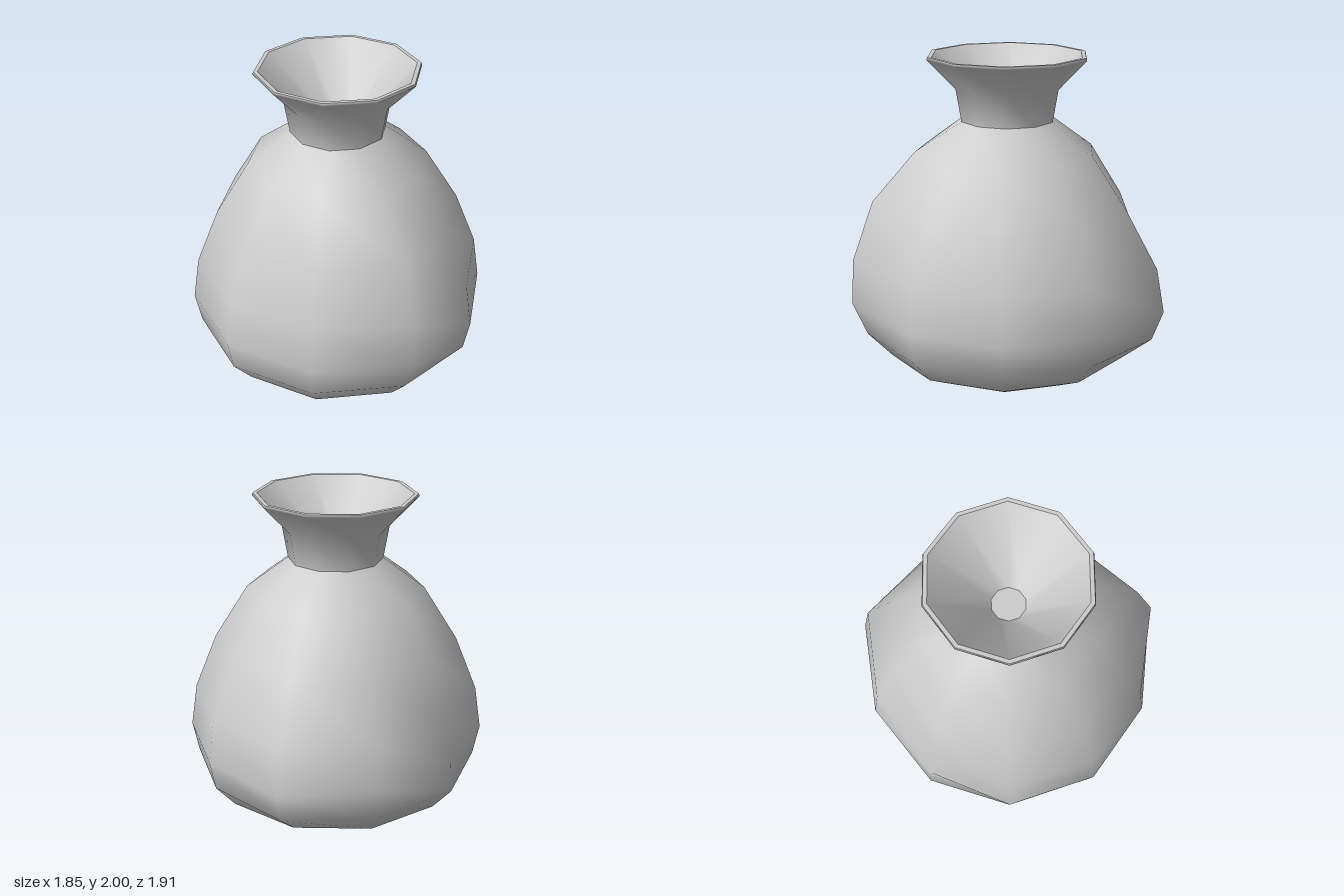
import * as THREE from 'three';
import { mergeVertices } from 'three/addons/utils/BufferGeometryUtils.js';

const SIDES = 10;
const material = new THREE.MeshStandardMaterial({ color: 0xcccccc });

// Ten-sided turned surface, optionally pushed in or out at single points
function turned(name, profile, dents = []) {
  const points = profile.map(([r, y]) => new THREE.Vector2(r, y));
  let geometry = new THREE.LatheGeometry(points, SIDES, Math.PI / 2);
  const pos = geometry.attributes.position;
  for (const { side, rows } of dents) {
    const a = (side / SIDES) * Math.PI * 2;
    for (const [row, out, up] of rows) {
      const i = side * profile.length + row;
      pos.setXYZ(i, pos.getX(i) + out * Math.cos(a), pos.getY(i) + up, pos.getZ(i) - out * Math.sin(a));
    }
  }
  // Weld the seam so the shading is smooth all round
  geometry.deleteAttribute('uv');
  geometry.deleteAttribute('normal');
  geometry = mergeVertices(geometry);
  geometry.computeVertexNormals();
  const mesh = new THREE.Mesh(geometry, material);
  mesh.name = name;
  return mesh;
}

export function createModel() {
  const group = new THREE.Group();
  group.name = 'sack';

  // Sagging body with two bulges and one dent
  const body = turned('body', [
    [0, 0], [0.545, 0.03], [0.755, 0.13], [0.885, 0.28], [0.925, 0.47],
    [0.885, 0.74], [0.75, 1.08], [0.545, 1.41], [0.29, 1.6],
  ], [
    { side: 8, rows: [[3, 0.02, 0.01], [4, 0.07, 0.03], [5, 0.095, 0.04], [6, 0.1, 0.06], [7, 0.04, 0.02]] },
    { side: 2, rows: [[3, 0.06, 0], [4, 0.09, 0], [5, 0.08, 0], [6, 0.02, 0]] },
    { side: 4, rows: [[4, -0.05, 0], [5, -0.09, 0]] },
  ]);

  // Flared neck, rim and funnel-shaped opening
  const neck = new THREE.Group();
  neck.name = 'neck';
  neck.add(
    turned('neckWall', [[0.29, 1.6], [0.325, 1.8], [0.5, 1.985], [0.495, 2]]),
    turned('rim', [[0.495, 2], [0.47, 2]]),
    turned('funnel', [[0.47, 2], [0.105, 1.62]]),
    turned('funnelFloor', [[0.105, 1.62], [0, 1.62]]),
  );

  group.add(body, neck);
  group.children.forEach((part) => { part.position.z = 0.01; });
  return group;
}
